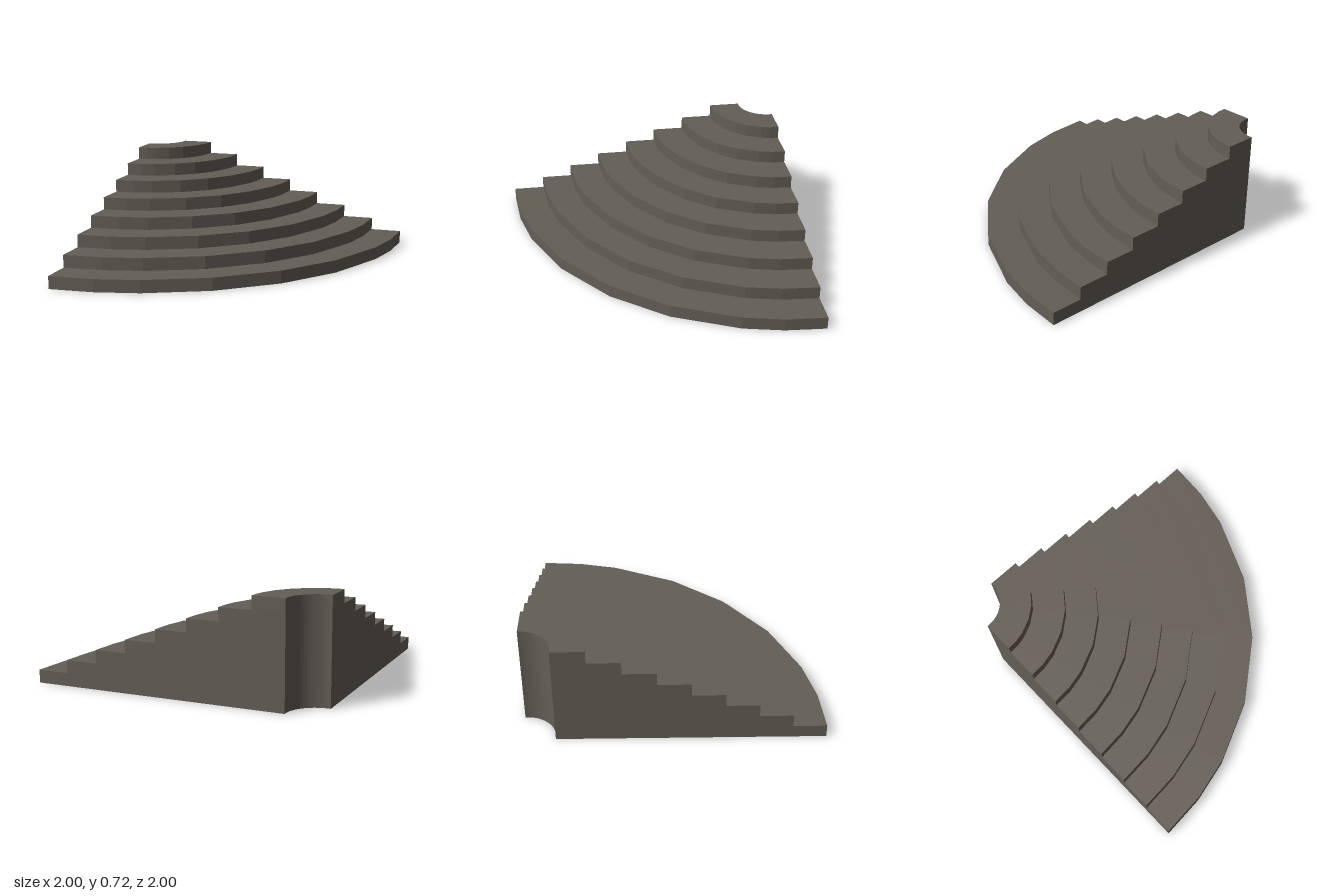
import * as THREE from 'three';

// Quarter-round stepped corner block, low-poly outer arcs and a smooth inner cutout
const STEPS = 8;
const RISE = 0.0897;
const INNER = 0.22;
const TREAD = 0.2225;
// Facet corners of each tier, in degrees from +z towards +x
const ANGLES = [0, 9, 18, 31.6, 45.7, 59.4, 73.7, 81.8, 90];

// Point on an arc around the back corner at (-1, -1)
function arcPoint(radius, degrees) {
  const a = THREE.MathUtils.degToRad(degrees);
  return new THREE.Vector2(-1 + radius * Math.sin(a), -1 + radius * Math.cos(a));
}

// One flat tier: outer facets one way, fine inner cutout back again
function tierGeometry(outer) {
  const points = ANGLES.map((d) => arcPoint(outer, d));
  for (let i = 0; i <= 16; i++) {
    const d = 90 - (i * 90) / 16;
    const bulge = 1 + 0.03 * Math.sin(THREE.MathUtils.degToRad(2 * d));
    points.push(arcPoint(INNER * bulge, d));
  }
  const geometry = new THREE.ExtrudeGeometry(new THREE.Shape(points), {
    depth: RISE,
    bevelEnabled: false,
  });
  geometry.rotateX(Math.PI / 2); // shape y becomes z, depth runs downwards
  return geometry;
}

export function createModel() {
  const model = new THREE.Group();
  model.name = 'cornerSteps';
  const stone = new THREE.MeshStandardMaterial({ color: 0x645e55 });
  stone.name = 'warm grey stone';

  // Tiers stacked from the widest at the bottom to the narrowest on top
  for (let i = 0; i < STEPS; i++) {
    const tier = new THREE.Mesh(tierGeometry(2 - i * TREAD), stone);
    tier.name = `step${i + 1}`;
    tier.position.y = (i + 1) * RISE;
    model.add(tier);
  }
  return model;
}
